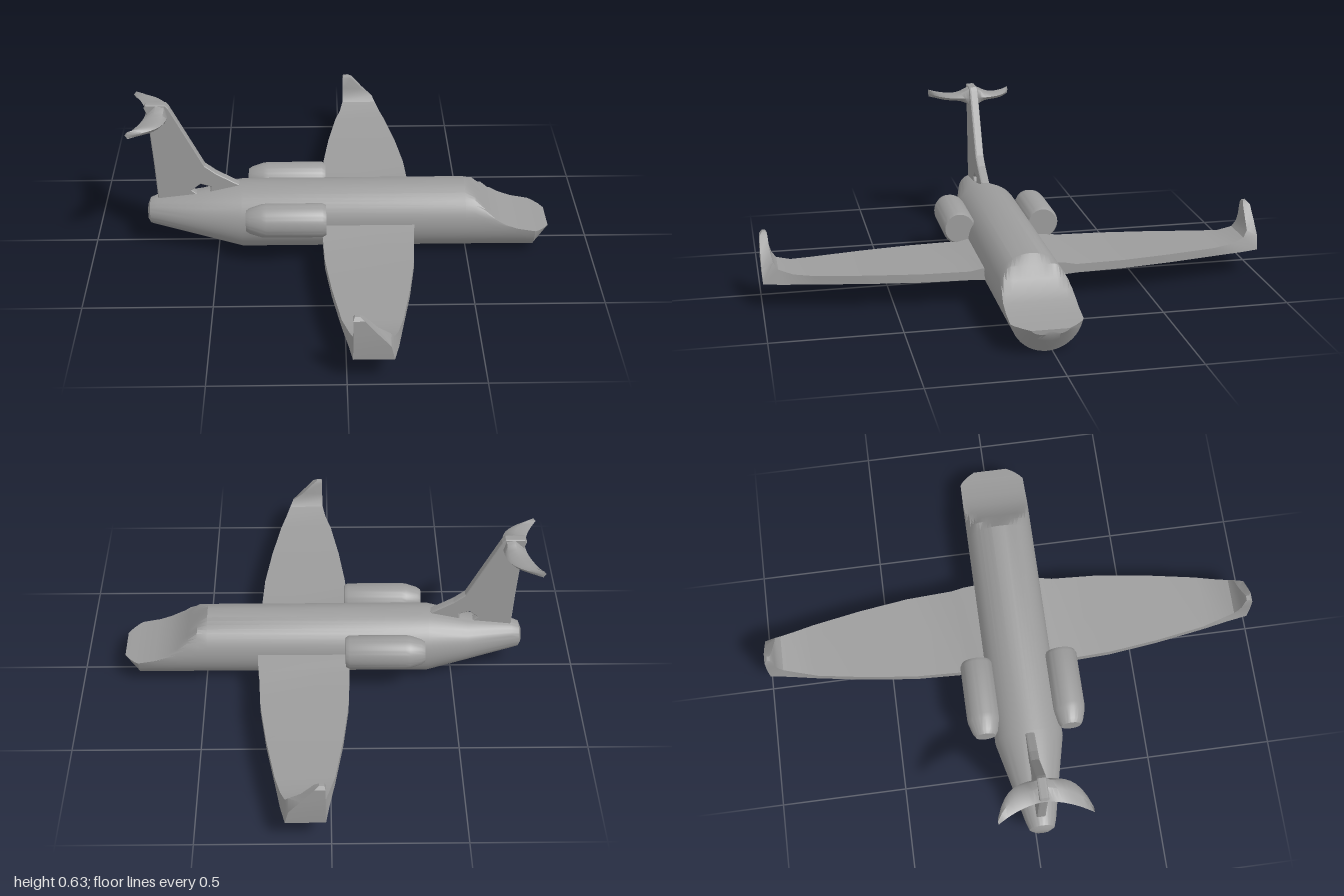
import * as THREE from 'three';
import { toCreasedNormals } from 'three/addons/utils/BufferGeometryUtils.js';

const CZ = 0.02; // centre line of the body

// Skin a list of equal rings and close both ends
function loft(rings, crease = 0.6) {
  const n = rings[0].length, pos = [], idx = [];
  rings.forEach(r => r.forEach(p => pos.push(...p)));
  for (let i = 0; i < rings.length - 1; i++) {
    for (let j = 0; j < n; j++) {
      const k = (j + 1) % n, a = i * n + j, b = a + n, c = i * n + k, d = c + n;
      idx.push(a, b, c, b, d, c);
    }
  }
  [0, rings.length - 1].forEach((r, end) => {
    const mid = [0, 1, 2].map(q => rings[r].reduce((s, p) => s + p[q], 0) / n);
    const m = pos.length / 3;
    pos.push(...mid);
    for (let j = 0; j < n; j++) {
      const a = r * n + j, b = r * n + (j + 1) % n;
      if (end) idx.push(m, b, a); else idx.push(m, a, b);
    }
  });
  const g = new THREE.BufferGeometry();
  g.setAttribute('position', new THREE.Float32BufferAttribute(pos, 3));
  g.setIndex(idx);
  return toCreasedNormals(g, crease);
}

// Oval ring across x, cut flat at height cut
function oval(x, bottom, top, halfWidth, z = CZ, cut = 9) {
  const ring = [], cy = (bottom + top) / 2, h = (top - bottom) / 2;
  for (let j = 0; j < 48; j++) {
    const t = j / 48 * Math.PI * 2;
    ring.push([x, Math.min(cut, cy + h * Math.sin(t)), z + halfWidth * Math.cos(t)]);
  }
  return ring;
}

export function createModel() {
  const model = new THREE.Group();
  const grey = new THREE.MeshStandardMaterial({ color: 0x9c9c9c });
  grey.name = 'grey';
  const add = (name, geometry) => {
    const mesh = new THREE.Mesh(geometry, grey);
    mesh.name = name;
    model.add(mesh);
    return mesh;
  };

  // Fuselage: tail cone, tube, scooped nose with a rounded, raked tip
  add('fuselage', loft([
    oval(-0.78, 0.115, 0.18, 0.03),
    oval(-0.77, 0.1, 0.205, 0.05),
    oval(-0.74, 0.092, 0.218, 0.06),
    oval(-0.56, 0.045, 0.238, 0.1),
    oval(-0.4, 0.002, 0.275, 0.137),
    oval(0.49, 0.002, 0.275, 0.137),
    oval(0.53, 0.002, 0.275, 0.137, CZ, 0.242),
    oval(0.57, 0.002, 0.275, 0.137, CZ, 0.202),
    oval(0.61, 0.002, 0.275, 0.137, CZ, 0.168),
    oval(0.65, 0.002, 0.275, 0.137, CZ, 0.145),
    oval(0.7, 0.002, 0.275, 0.136, CZ, 0.127),
    oval(0.77, 0, 0.275, 0.135, CZ, 0.114),
    oval(0.785, 0.022, 0.26, 0.125, CZ, 0.112),
    oval(0.81, 0.056, 0.2, 0.098, CZ, 0.109),
    oval(0.828, 0.085, 0.13, 0.07, CZ, 0.106),
  ]));

  // Wings with upturned tips: [trailing x, leading x, outer z, y, inner z, y]
  const wing = [
    [-0.08, 0.29, 0.05, 0.1, 0.05, 0.16], [-0.08, 0.285, 0.165, 0.102, 0.165, 0.15],
    [-0.08, 0.28, 0.21, 0.104, 0.21, 0.139], [-0.072, 0.27, 0.4, 0.104, 0.4, 0.138],
    [-0.048, 0.243, 0.6, 0.104, 0.6, 0.138], [-0.015, 0.207, 0.8, 0.104, 0.8, 0.138],
    [0.008, 0.186, 0.92, 0.104, 0.88, 0.143], [0.02, 0.168, 0.995, 0.104, 0.935, 0.16],
    [0.022, 0.155, 0.998, 0.16, 0.953, 0.185], [0.022, 0.11, 0.998, 0.21, 0.961, 0.215],
    [0.022, 0.062, 0.996, 0.265, 0.966, 0.265], [0.025, 0.045, 0.985, 0.277, 0.972, 0.277],
  ];
  const wingRings = s => wing.map(([t, l, oz, oy, iz, iy]) =>
    [[t, oy, s * oz], [t, iy, s * iz], [l, iy, s * iz], [l, oy, s * oz]]);
  add('leftwardWing', loft(wingRings(1)));
  add('rearwardWing', loft(wingRings(-1).reverse()));

  // Engines and their pylons
  for (const s of [1, -1]) {
    const z = CZ + s * 0.172;
    add('engine', loft([[-0.38, 0.04], [-0.365, 0.05], [-0.32, 0.064], [-0.3, 0.066],
      [-0.08, 0.066], [-0.065, 0.058]].map(([x, r]) => oval(x, 0.196 - r, 0.196 + r * 1.04, r, z))));
    add('enginePylon', new THREE.BoxGeometry(0.24, 0.04, 0.08)).position.set(-0.19, 0.19, CZ + s * 0.12);
  }

  // Tail fin with an opening at its foot
  const fin = new THREE.Shape([[-0.735, 0.16], [-0.745, 0.36], [-0.76, 0.58], [-0.772, 0.615],
    [-0.765, 0.63], [-0.688, 0.63], [-0.675, 0.615], [-0.545, 0.36], [-0.5, 0.325],
    [-0.41, 0.274], [-0.41, 0.16]].map(p => new THREE.Vector2(...p)));
  fin.holes.push(new THREE.Path([[-0.6, 0.25], [-0.565, 0.222], [-0.53, 0.235], [-0.525, 0.265],
    [-0.565, 0.277]].map(p => new THREE.Vector2(...p))));
  const finGeo = new THREE.ExtrudeGeometry(fin, {
    depth: 0.02, bevelEnabled: true, bevelThickness: 0.008, bevelSize: 0.004, bevelOffset: -0.004, bevelSegments: 2,
  });
  add('tailFin', finGeo).position.z = CZ - 0.01;

  // Crescent tailplane, thickest where it meets the fin
  const plane = [];
  for (let i = -10; i <= 10; i++) {
    const u = i / 10, a = Math.abs(u);
    const lead = -0.68 - 0.04 * a ** 2 - 0.09 * a ** 5;
    const trail = -0.768 - 0.062 * a ** 1.8;
    const top = 0.597 + 0.033 * Math.exp(-((u / 0.28) ** 2));
    const low = 0.567 - 0.025 * Math.exp(-((u / 0.2) ** 2));
    const z = CZ + u * 0.178, mid = (lead + trail) / 2, y = 0.583;
    plane.push([[trail, y, z], [mid, top, z], [lead - 0.012, top - 0.006, z],
      [lead, y, z], [lead - 0.012, low + 0.004, z], [mid, low, z]]);
  }
  add('tailplane', loft(plane, 0.9));

  return model;
}
